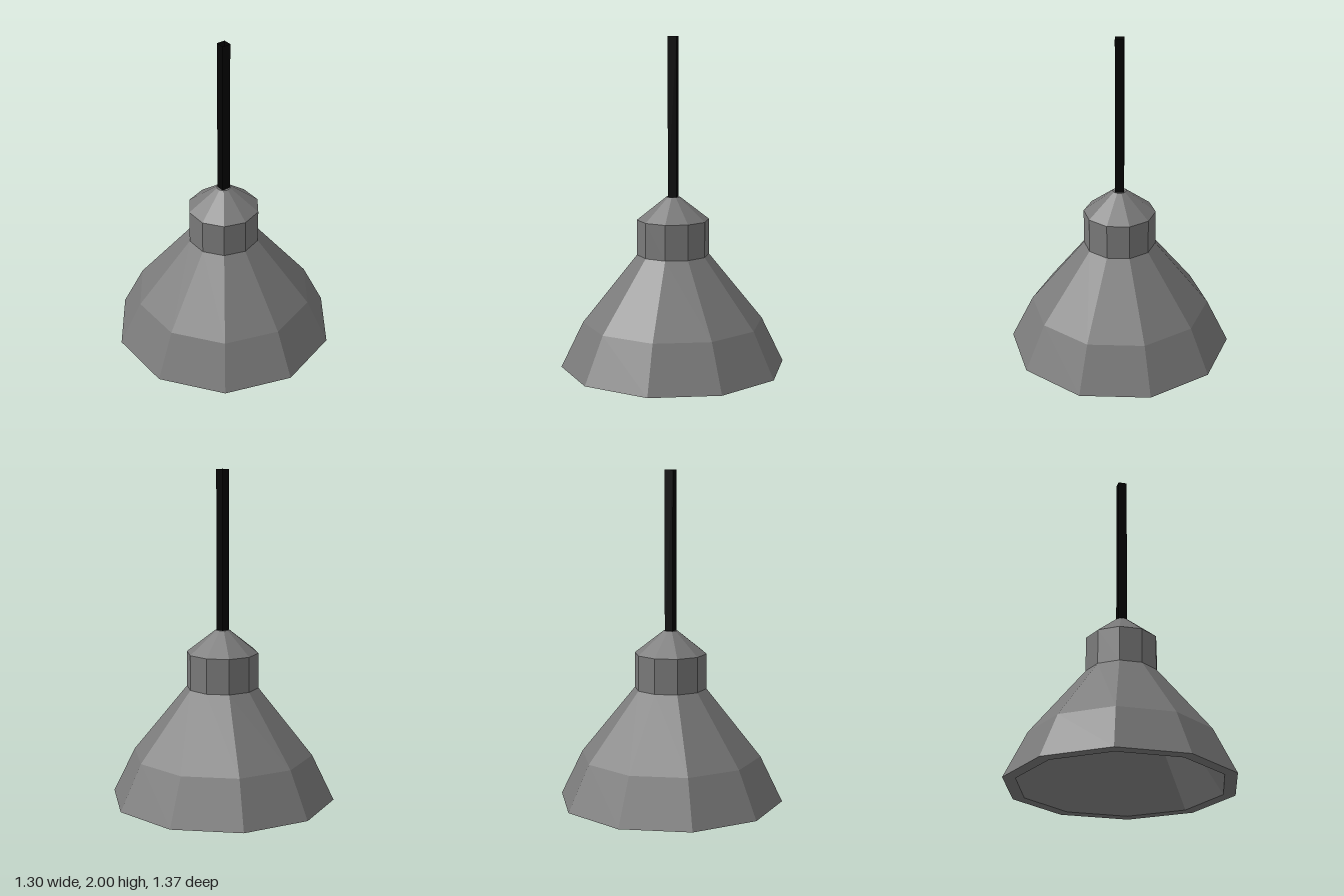
import * as THREE from 'three';

const SIDES = 10;

const material = (color) => new THREE.MeshStandardMaterial({ color, flatShading: true });

// Faceted turned part from a list of [radius, height] points
function turned(name, profile, mat, sides = SIDES) {
  const points = profile.map(([r, y]) => new THREE.Vector2(r, y));
  const mesh = new THREE.Mesh(new THREE.LatheGeometry(points, sides), mat);
  mesh.name = name;
  return mesh;
}

export function createModel() {
  const lamp = new THREE.Group();
  lamp.name = 'pendantLamp';
  const darkGrey = material(0x7a7a7a);

  // Thick shade: down the plain inner cone, across the flat rim, up the kinked outside
  lamp.add(turned('shade', [
    [0.16, 0.688], [0.61, 0],
    [0.685, 0], [0.55, 0.277], [0.219, 0.688],
  ], darkGrey));

  // Collar with its conical cap; its underside closes the shade
  lamp.add(turned('collar', [
    [0, 0.688], [0.219, 0.688], [0.219, 0.902], [0.042, 1.04], [0, 1.04],
  ], darkGrey));

  // Square cord, open at the ends so both faces of its walls show
  const cordMaterial = material(0x030303);
  cordMaterial.side = THREE.DoubleSide;
  const cord = new THREE.Mesh(
    new THREE.CylinderGeometry(0.0375, 0.0375, 0.96, 4, 1, true, Math.PI / 4),
    cordMaterial,
  );
  cord.name = 'cord';
  cord.position.y = 1.52;
  lamp.add(cord);

  // Bulb with a blunt tip and a narrow neck
  lamp.add(turned('bulb', [
    [0, 0.255], [0.048, 0.255], [0.1, 0.35], [0.1, 0.42], [0.06, 0.54], [0.06, 0.688],
  ], material(0xeee600)));

  return lamp;
}
